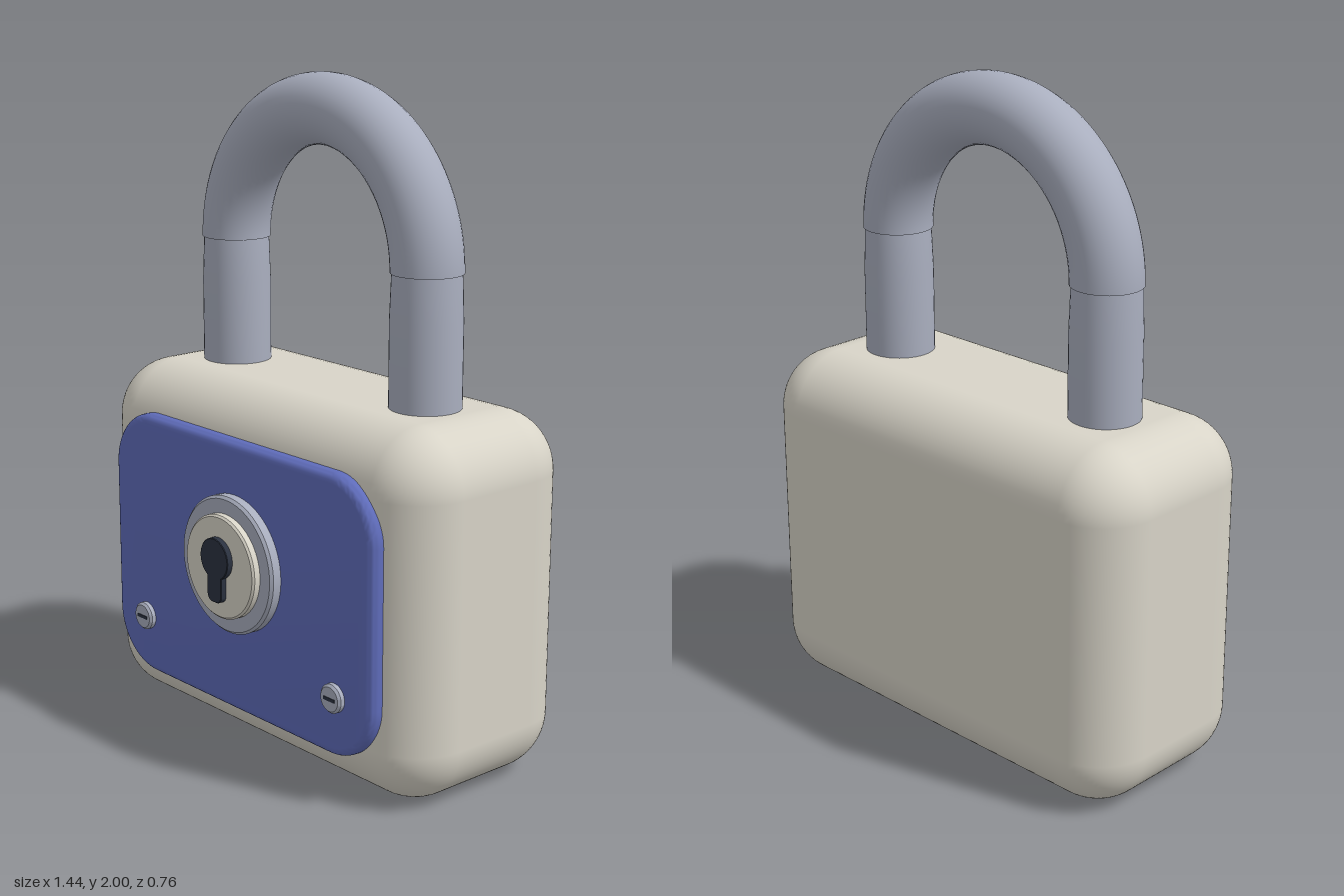
import * as THREE from 'three';
import { RoundedBoxGeometry } from 'three/addons/geometries/RoundedBoxGeometry.js';
import { toCreasedNormals } from 'three/addons/utils/BufferGeometryUtils.js';

const material = (color) => new THREE.MeshStandardMaterial({ color });
const cream = material(0xd8d4c8);
const blue = material(0x5f6cba);
const steel = material(0xa9aebe);
const dark = material(0x2b3240);

const BODY_Z = -0.057;

// Disc facing +z with a small chamfer, its back at z = 0
function disc(radius, depth, chamfer) {
  const profile = [[radius, 0], [radius, depth - chamfer], [radius - chamfer, depth], [0, depth]]
    .map(([r, y]) => new THREE.Vector2(r, y));
  return toCreasedNormals(new THREE.LatheGeometry(profile, 64).rotateX(Math.PI / 2), 0.7);
}

// Rounded rectangle centred on the origin
function roundedRect(w, h, r) {
  const x = w / 2 - r, y = h / 2 - r;
  const s = new THREE.Shape();
  s.absarc(x, y, r, 0, Math.PI / 2);
  s.absarc(-x, y, r, Math.PI / 2, Math.PI);
  s.absarc(-x, -y, r, Math.PI, Math.PI * 1.5);
  s.absarc(x, -y, r, Math.PI * 1.5, Math.PI * 2);
  s.closePath();
  return s;
}

// Round hole above a slot with a rounded end
function keyholeShape() {
  const s = new THREE.Shape();
  const half = 0.03, r = 0.061, a = Math.asin(half / r);
  s.absarc(0, 0.025, r, -Math.PI / 2 + a, Math.PI * 1.5 - a);
  s.lineTo(-half, -0.085);
  s.absarc(-0.01, -0.085, 0.02, Math.PI, Math.PI * 1.5);
  s.absarc(0.01, -0.085, 0.02, -Math.PI / 2, 0);
  s.closePath();
  return s;
}

export function createModel() {
  const model = new THREE.Group();
  const add = (name, geometry, mat, x, y, z, parent = model) => {
    const mesh = new THREE.Mesh(geometry, mat);
    mesh.name = name;
    mesh.position.set(x, y, z);
    parent.add(mesh);
    return mesh;
  };

  // Body
  add('body', new RoundedBoxGeometry(1.44, 1.09, 0.645, 8, 0.18), cream, 0, 0.545, BODY_Z);

  // Front plate with a softened rim
  const bevel = 0.025;
  const plate = new THREE.ExtrudeGeometry(roundedRect(1.18 - 2 * bevel, 0.83 - 2 * bevel, 0.155), {
    depth: 0.015, bevelSize: bevel, bevelThickness: bevel, bevelSegments: 5, curveSegments: 12,
  });
  add('frontPlate', toCreasedNormals(plate, 0.7), blue, 0, 0.547, 0.26);

  // Shackle: half torus on two straight legs, slightly narrowed at the joint
  const shackle = new THREE.Group();
  shackle.name = 'shackle';
  shackle.position.z = BODY_Z;
  model.add(shackle);
  add('shackleArch', new THREE.TorusGeometry(0.42, 0.105, 32, 64, Math.PI), steel, 0, 1.475, 0, shackle);
  const legProfile = [[0.105, 1.0], [0.105, 1.34], [0.1, 1.475], [0, 1.475]]
    .map(([r, y]) => new THREE.Vector2(r, y));
  const leg = toCreasedNormals(new THREE.LatheGeometry(legProfile, 40), 0.7);
  const archEnd = new THREE.CircleGeometry(0.105, 40).rotateX(Math.PI / 2);
  for (const [side, x] of [['left', 0.42], ['right', -0.42]]) {
    add(side + 'ShackleLeg', leg, steel, x, 0, 0, shackle);
    add(side + 'ArchEnd', archEnd, steel, x, 1.475, 0, shackle);
  }

  // Lock cylinder: ring, core and raised keyhole
  add('lockRing', disc(0.208, 0.055, 0.008), steel, 0, 0.598, 0.28);
  add('lockCore', disc(0.157, 0.04, 0.006), cream, 0, 0.598, 0.32);
  const keyhole = new THREE.ExtrudeGeometry(keyholeShape(), {
    depth: 0.02, bevelSize: 0.002, bevelThickness: 0.002, bevelSegments: 1, curveSegments: 24,
  });
  add('keyhole', toCreasedNormals(keyhole, 0.7), dark, 0, 0.602, 0.357);

  // Slotted screws in the lower corners
  const screwHead = disc(0.043, 0.03, 0.007);
  const screwSlot = new THREE.BoxGeometry(0.045, 0.01, 0.008);
  for (const [side, x] of [['left', 0.438], ['right', -0.438]]) {
    add(side + 'Screw', screwHead, steel, x, 0.314, 0.29);
    add(side + 'ScrewSlot', screwSlot, dark, x, 0.314, 0.318);
  }

  return model;
}
